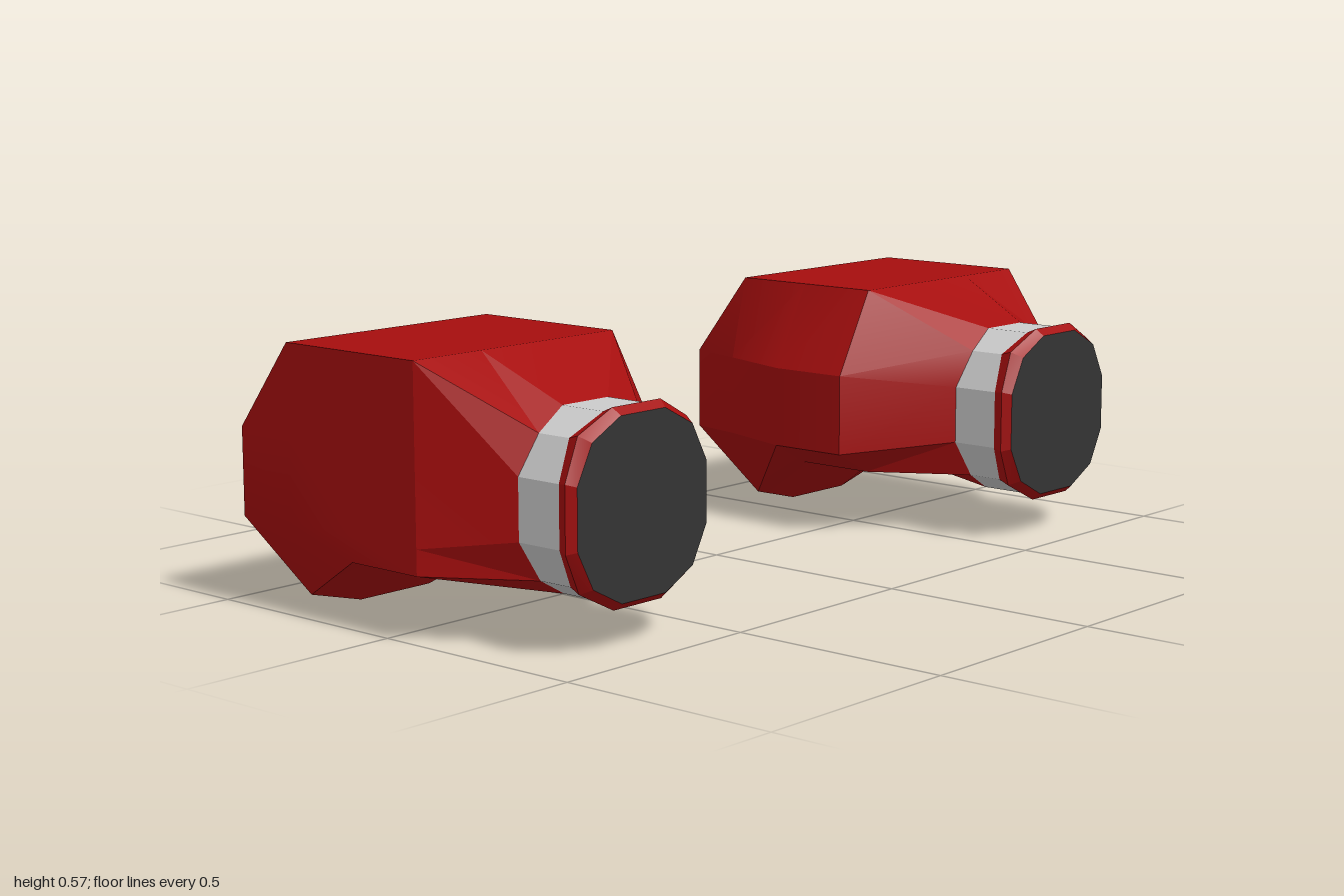
import * as THREE from 'three';
import { toCreasedNormals } from 'three/addons/utils/BufferGeometryUtils.js';

const CENTER = [0.715, 0.286];
const red = new THREE.MeshStandardMaterial({ color: 0xa60e0e });
const grey = new THREE.MeshStandardMaterial({ color: 0xcccccc });
const dark = new THREE.MeshStandardMaterial({ color: 0x333333 });

// Twelve-sided collar outline; its four corner points may sit at a different depth
function collar(scale, z, cornerZ = z) {
  const a = 0.19 * scale, b = 0.147 * scale, c = 0.065 * scale;
  const outline = [[a, -c], [a, c], [b, b], [c, a], [-c, a], [-b, b],
    [-a, c], [-a, -c], [-b, -b], [-c, -a], [c, -a], [b, -b]];
  return outline.map(([x, y], i) =>
    [CENTER[0] + x, CENTER[1] + y, i % 3 === 2 ? cornerZ : z]);
}

// Twelve-point housing section: flat outer wall, bulged inner wall
function housing(z, { top, bulge, high, low, belly, keel, inset = 0 }) {
  const outer = 1, inner = 0.435, m1 = 0.815, m2 = 0.62;
  return [[outer, low], [outer, high], [outer, top], [m1, top], [m2, top], [inner, top],
    [bulge, high], [bulge, low], [inner + inset, belly], [m2, keel], [m1, keel],
    [outer - inset, belly]].map(([x, y]) => [x, y, z]);
}

// Skins rings listed from front to back; side = -1 mirrors across x
function loft(rings, side, { capFront = false, capBack = false, crease = 0.35 } = {}) {
  const pos = [];
  const tri = (a, b, c) => {
    const [p, q, r] = (side > 0 ? [a, b, c] : [a, c, b])
      .map(([x, y, z]) => new THREE.Vector3(x * side, y, z));
    const area = q.clone().sub(p).cross(r.clone().sub(p)).length();
    if (area > 1e-7) for (const v of [p, q, r]) pos.push(v.x, v.y, v.z);
  };
  const n = rings[0].length;
  for (let k = 0; k < rings.length - 1; k++) {
    for (let i = 0; i < n; i++) {
      const j = (i + 1) % n, f = rings[k], b = rings[k + 1];
      tri(f[i], b[i], b[j]);
      tri(f[i], b[j], f[j]);
    }
  }
  const cap = (ring, front) => {
    const mid = [0, 1, 2].map((d) => ring.reduce((s, p) => s + p[d], 0) / n);
    for (let i = 0; i < n; i++) {
      const j = (i + 1) % n;
      if (front) tri(mid, ring[i], ring[j]);
      else tri(mid, ring[j], ring[i]);
    }
  };
  if (capFront) cap(rings[0], true);
  if (capBack) cap(rings[rings.length - 1], false);
  const geo = new THREE.BufferGeometry();
  geo.setAttribute('position', new THREE.Float32BufferAttribute(pos, 3));
  return toCreasedNormals(geo, crease);
}

function createPod(side) {
  const pod = new THREE.Group();
  pod.name = side > 0 ? 'leftPod' : 'rightPod';
  const add = (name, geo, mat) => {
    const mesh = new THREE.Mesh(geo, mat);
    mesh.name = name;
    pod.add(mesh);
  };

  // Housing: neck, box section, lowered chin, tapered back
  const full = { top: 0.57, bulge: 0.33, high: 0.38, low: 0.195, belly: 0.14, keel: 0.14 };
  add('housing', loft([
    collar(1, 0.28, 0.295),
    housing(0.09, full),
    housing(-0.1, full),
    housing(-0.287, { ...full, bulge: 0.388, belly: 0.035, keel: 0, inset: 0.05 }),
    housing(-0.435, { top: 0.38, bulge: 0.435, high: 0.38, low: 0.19, belly: 0.19, keel: 0.19 }),
  ], side, { capBack: true }), red);

  // Plain band around the neck
  add('neckBand', loft([collar(1, 0.39, 0.377), collar(1, 0.28, 0.295)], side), grey);

  // Flared rim
  add('rim', loft([
    collar(0.98, 0.435),
    collar(1.06, 0.417, 0.408),
    collar(1, 0.39, 0.377),
  ], side), red);

  // Dark front disc
  add('frontDisc', loft([collar(0.98, 0.435)], side, { capFront: true }), dark);
  return pod;
}

export function createModel() {
  const model = new THREE.Group();
  model.name = 'podPair';
  for (const side of [1, -1]) model.add(createPod(side));
  return model;
}
